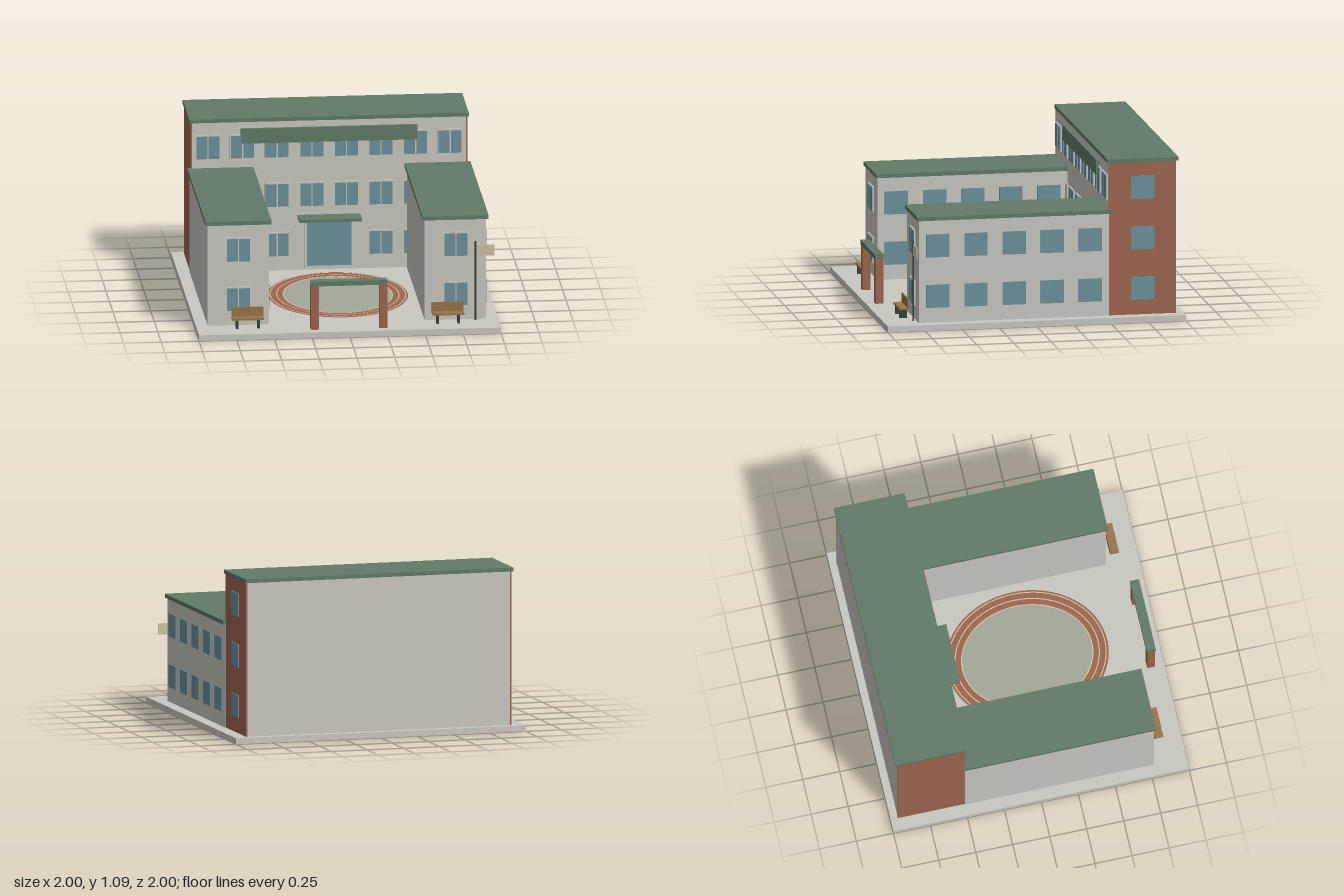
import * as THREE from 'three';

const mat = (name, color, side = THREE.FrontSide) => {
  const m = new THREE.MeshStandardMaterial({ color, side });
  m.name = name;
  return m;
};

export function createModel() {
  const wall = mat('plaster', 0xcac8c0);
  const green = mat('roofGreen', 0x617b66);
  const brick = mat('brick', 0x9d6550);
  const glass = mat('glass', 0x6c929b);
  const wood = mat('wood', 0x99764b);
  const dark = mat('darkMetal', 0x35443d);
  const cream = mat('cream', 0xcfc4a6);
  const lawn = mat('fieldGrey', 0xa4a899);

  const model = new THREE.Group();
  model.name = 'schoolCampus';

  // Box given by its minimum and maximum on each axis
  const box = (name, m, [x0, x1], [y0, y1], [z0, z1], parent = model) => {
    const mesh = new THREE.Mesh(new THREE.BoxGeometry(x1 - x0, y1 - y0, z1 - z0), m);
    mesh.position.set((x0 + x1) / 2, (y0 + y1) / 2, (z0 + z1) / 2);
    mesh.name = name;
    parent.add(mesh);
    return mesh;
  };
  const group = (name, x = 0, y = 0, z = 0) => {
    const g = new THREE.Group();
    g.name = name;
    g.position.set(x, y, z);
    model.add(g);
    return g;
  };

  // Ground slab
  box('groundSlab', wall, [-1, 1], [0, 0.04], [-1, 1]);

  // Main block with brick end walls
  box('mainBlock', wall, [-0.908, 0.908], [0.04, 1.065], [-0.95, -0.5]);
  box('mainRoof', green, [-0.925, 0.925], [1.065, 1.09], [-0.967, -0.49]);
  for (const s of [-1, 1]) {
    const xs = [s * 0.907, s * 0.917].sort((a, b) => a - b);
    box('brickEndWall', brick, xs, [0.04, 1.065], [-0.952, -0.498]);
  }
  box('signBoard', green, [-0.585, 0.585], [0.92, 1.02], [-0.5, -0.479]);

  // Side wings
  for (const s of [-1, 1]) {
    const span = (a, b) => [s * a, s * b].sort((p, q) => p - q);
    box('wing', wall, span(0.515, 0.922), [0.04, 0.727], [-0.5, 0.777]);
    box('wingRoof', green, span(0.5, 0.937), [0.727, 0.753], [-0.512, 0.789]);
  }

  // Framed two-pane windows facing the front
  const frontWindow = (x, y, z) => {
    const w = group('frontWindow', x, y, z);
    box('windowFrame', wall, [-0.085, 0.085], [-0.086, 0.086], [0, 0.01], w);
    box('windowGlass', glass, [-0.076, 0.076], [-0.077, 0.077], [0.009, 0.013], w);
    box('windowMullion', wall, [-0.004, 0.004], [-0.077, 0.077], [0.012, 0.016], w);
  };
  const floors = [0.217, 0.556, 0.895];
  floors.forEach((y, floor) => {
    for (let i = 0; i < 8; i++) {
      const x = (i - 3.5) * 0.229;
      const behindDoor = floor === 0 && Math.abs(x) < 0.2;
      const behindWing = floor < 2 && Math.abs(x) > 0.7;
      if (!behindDoor && !behindWing) frontWindow(x, y, -0.5);
    }
    if (floor < 2) for (const s of [-1, 1]) frontWindow(s * 0.72, y, 0.777);
  });

  // Plain windows on the walls that face +x
  const sideWindow = (x, y, z) =>
    box('sideWindow', glass, [x - 0.001, x + 0.008], [y - 0.077, y + 0.077], [z - 0.078, z + 0.078]);
  for (const y of floors) {
    sideWindow(0.917, y, -0.725);
    if (y > 0.8) continue;
    for (let i = 0; i < 5; i++) {
      for (const x of [-0.515, 0.922]) sideWindow(x, y, 0.65 - i * 0.256);
    }
  }

  // Entrance
  box('doorFrame', wall, [-0.165, 0.165], [0.055, 0.4], [-0.5, -0.485]);
  box('doorGlass', glass, [-0.148, 0.148], [0.07, 0.388], [-0.486, -0.481]);
  box('entranceCanopy', green, [-0.207, 0.207], [0.398, 0.416], [-0.5, -0.37]);

  // Running track: brick ellipse, cream lane lines and inner field
  const ellipse = (name, m, rx, rz, y, width = 0) => {
    const shape = new THREE.Shape().absellipse(0, 0, rx, rz, 0, Math.PI * 2);
    if (width) {
      shape.holes.push(new THREE.Path().absellipse(0, 0, rx - width, rz - width, 0, Math.PI * 2, true));
    }
    const mesh = new THREE.Mesh(new THREE.ShapeGeometry(shape, 32), m);
    mesh.rotation.x = -Math.PI / 2;
    mesh.position.set(0, y, 0.13);
    mesh.name = name;
    model.add(mesh);
  };
  ellipse('runningTrack', brick, 0.462, 0.541, 0.043, 0.1);
  ellipse('innerField', lawn, 0.364, 0.443, 0.042);
  for (const r of [0.45, 0.406, 0.363]) ellipse('laneLine', cream, r, r + 0.077, 0.046, 0.007);

  // Entrance gate
  for (const s of [-1, 1]) {
    box('gatePillar', brick, [s * 0.227 - 0.026, s * 0.227 + 0.026], [0.04, 0.34], [0.885, 0.938]);
  }
  box('gateBeam', green, [-0.252, 0.252], [0.338, 0.37], [0.88, 0.942]);

  // Benches
  for (const s of [-1, 1]) {
    const bench = group('bench', s * 0.663, 0, 0.845);
    box('benchSeat', wood, [-0.105, 0.105], [0.098, 0.112], [-0.03, 0.032], bench);
    box('benchBack', wood, [-0.105, 0.105], [0.112, 0.175], [-0.03, -0.021], bench);
    for (const x of [-0.07, 0.07]) {
      box('benchLeg', dark, [x - 0.008, x + 0.008], [0.04, 0.098], [-0.022, 0.026], bench);
    }
  }

  // Flagpole and flag
  const pole = new THREE.Mesh(new THREE.CylinderGeometry(0.006, 0.006, 0.54, 10), dark);
  pole.position.set(0.85, 0.31, 0.8);
  pole.name = 'flagPole';
  model.add(pole);
  box('flag', cream, [0.852, 0.975], [0.48, 0.555], [0.798, 0.802]);

  return model;
}
